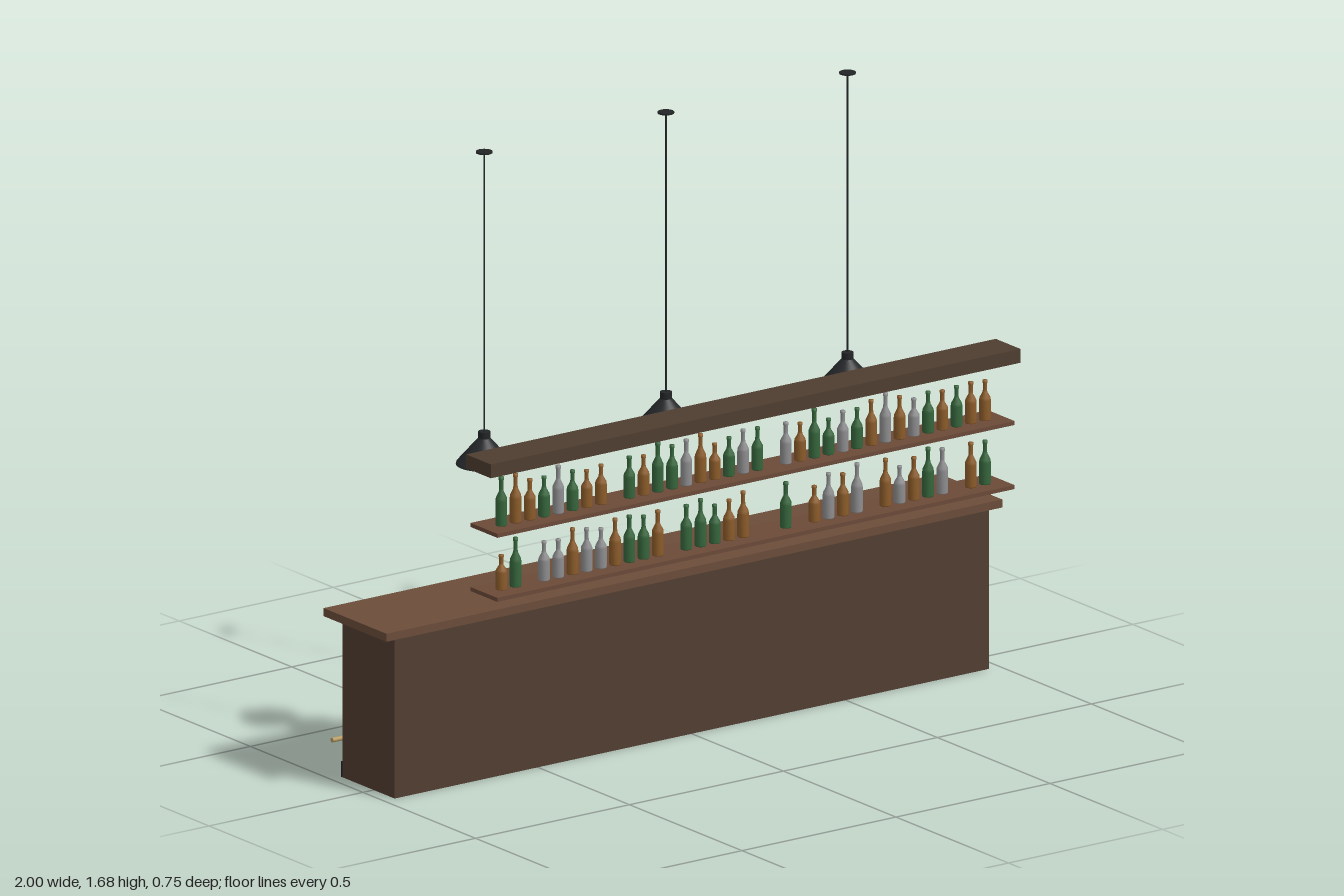
import * as THREE from 'three';

const mat = (color, side = THREE.FrontSide) => new THREE.MeshStandardMaterial({ color, side });
const MAT = {
  top: mat(0x6b4c39), body: mat(0x513d30), beam: mat(0x4f3d30), shelf: mat(0x6b4a38),
  seat: mat(0x4d382b), black: mat(0x222426), shade: mat(0x26282b, THREE.DoubleSide),
  brass: mat(0xb59a62), bulb: mat(0xcccccc),
  G: mat(0x36663c), B: mat(0x8c5c2a), S: mat(0x8e8e90),
};

function add(parent, name, geometry, material, x = 0, y = 0, z = 0) {
  const mesh = new THREE.Mesh(geometry, material);
  mesh.name = name;
  mesh.position.set(x, y, z);
  parent.add(mesh);
  return mesh;
}

function group(parent, name, x = 0, y = 0, z = 0) {
  const g = new THREE.Group();
  g.name = name;
  g.position.set(x, y, z);
  parent.add(g);
  return g;
}

// Box given by its extents on each axis
function box(parent, name, material, [x0, x1], [y0, y1], [z0, z1]) {
  return add(parent, name, new THREE.BoxGeometry(x1 - x0, y1 - y0, z1 - z0), material,
    (x0 + x1) / 2, (y0 + y1) / 2, (z0 + z1) / 2);
}

const lathe = (points, segments) =>
  new THREE.LatheGeometry(points.map(([r, y]) => new THREE.Vector2(r, y)), segments);
const cylinder = (r, h, segments = 16) => new THREE.CylinderGeometry(r, r, h, segments);

function buildCounter(root) {
  const counter = group(root, 'counter');
  box(counter, 'counterBody', MAT.body, [-0.965, 0.965], [0, 0.44], [-0.139, 0.093]);
  box(counter, 'counterTop', MAT.top, [-1, 1], [0.44, 0.462], [-0.175, 0.105]);
  box(counter, 'kickPlate', MAT.black, [-0.965, 0.965], [0, 0.043], [-0.145, -0.139]);
  // Upright battens on the guest side
  for (let i = 0; i < 12; i++) {
    const x = -0.93 + i * 1.86 / 11;
    box(counter, 'batten', MAT.black, [x - 0.005, x + 0.005], [0.052, 0.412], [-0.145, -0.139]);
  }
  // Foot rail with brackets
  add(counter, 'footRail', cylinder(0.0065, 1.91, 12), MAT.brass, 0, 0.085, -0.199).rotation.z = Math.PI / 2;
  for (let i = -2; i <= 2; i++) {
    add(counter, 'railBracket', cylinder(0.004, 0.06, 8), MAT.black, i * 0.42, 0.085, -0.169).rotation.x = Math.PI / 2;
  }
}

function buildStool(root, x) {
  const stool = group(root, 'stool', x, 0, -0.291);
  add(stool, 'stoolBase', cylinder(0.084, 0.009, 32), MAT.black, 0, 0.0045);
  add(stool, 'stoolPost', cylinder(0.009, 0.306), MAT.black, 0, 0.162);
  add(stool, 'footRing', new THREE.TorusGeometry(0.067, 0.0035, 8, 32), MAT.black, 0, 0.127).rotation.x = Math.PI / 2;
  add(stool, 'ringSpoke', cylinder(0.003, 0.134, 8), MAT.black, 0, 0.127).rotation.z = Math.PI / 2;
  add(stool, 'stoolSeat', lathe([[0, 0.313], [0.062, 0.313], [0.069, 0.317], [0.071, 0.322],
    [0.068, 0.328], [0.055, 0.333], [0, 0.334]], 32), MAT.seat);
}

function buildPendant(root, x) {
  const lamp = group(root, 'pendantLamp', x, 0, -0.022);
  add(lamp, 'lampShade', lathe([[0.075, 0.822], [0.073, 0.828], [0.017, 0.892], [0.016, 0.893]], 32), MAT.shade);
  add(lamp, 'shadeCap', cylinder(0.016, 0.022, 20), MAT.black, 0, 0.9);
  add(lamp, 'bulb', new THREE.SphereGeometry(0.016, 16, 12), MAT.bulb, 0, 0.852);
  add(lamp, 'lampCord', cylinder(0.0025, 0.77, 8), MAT.black, 0, 1.293);
  add(lamp, 'ceilingPlate', cylinder(0.022, 0.004, 20), MAT.black, 0, 1.678);
}

// Unit-height bottle, scaled per bottle
const bottleGeometry = lathe([[0, 0], [0.0145, 0], [0.0155, 0.02], [0.0155, 0.5], [0.0145, 0.57],
  [0.0065, 0.7], [0.0055, 0.76], [0.0055, 0.93], [0.0068, 0.935], [0.0068, 1], [0, 1]], 12);

// One letter per slot: G green, B brown, S silver, dot empty
const ROWS = [
  { y: 0.6, slots: 'BG.SSBSSBGGB.GGGBB..G.BSBS.BSBGS.BG' },
  { y: 0.776, slots: 'GBBGSGBB.GBGGSBBGSG.SBGGSGBSBSGBGBB' },
];

function buildBackShelves(root) {
  const unit = group(root, 'backShelves');
  box(unit, 'topBeam', MAT.beam, [-0.86, 0.86], [0.932, 0.97], [0.267, 0.377]);
  let seed = 7;
  const random = () => (seed = (seed * 16807) % 2147483647) / 2147483647;
  for (const { y, slots } of ROWS) {
    box(unit, 'shelf', MAT.shelf, [-0.84, 0.84], [y - 0.011, y], [0.259, 0.378]);
    [...slots].forEach((kind, i) => {
      if (kind === '.') return;
      const bottle = add(unit, 'bottle', bottleGeometry, MAT[kind], -0.786 + i * 0.0462, y, 0.322);
      bottle.scale.y = 0.095 + 0.042 * random();
    });
  }
}

export function createModel() {
  const root = new THREE.Group();
  root.name = 'barCounterSet';
  buildCounter(root);
  for (let i = -2; i <= 2; i++) buildStool(root, i * 0.336);
  for (const x of [-0.59, 0, 0.59]) buildPendant(root, x);
  buildBackShelves(root);
  return root;
}
